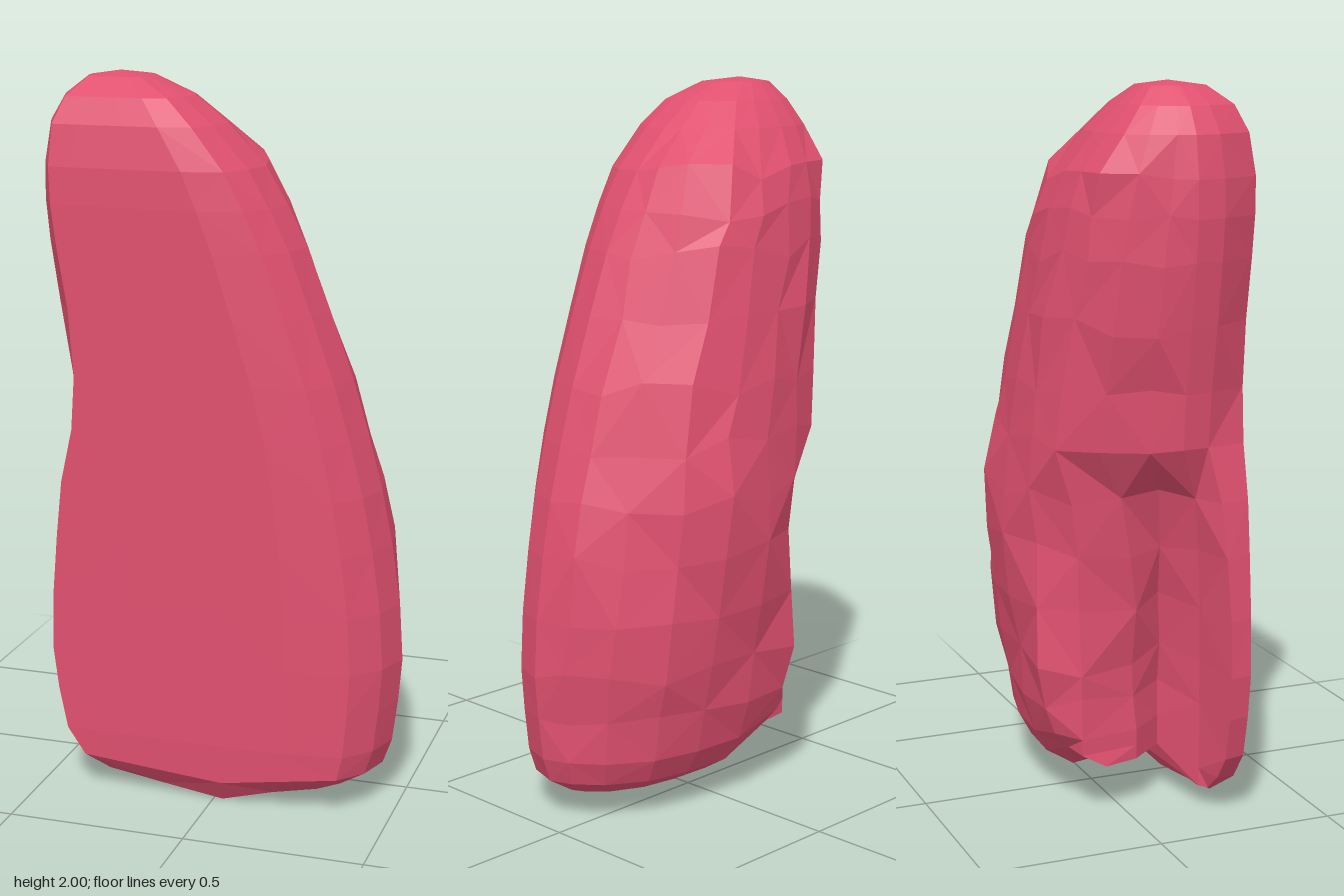
import * as THREE from 'three';

// Cross-section outline: u runs left edge to right edge, v runs back (-1) to front (1)
const OUTLINE = [
  [-0.97, 1], [-0.5, 1], [0, 1], [0.42, 1], [0.78, 0.88], [0.93, 0.5], [1, 0], [0.94, -0.27], [0.8, -0.57],
  [0.55, -0.85], [0.25, -0.97], [-0.1, -1], [-0.4, -0.95], [-0.64, -0.84], [-0.81, -0.57], [-0.93, -0.24], [-1, 0], [-0.98, 0.4],
];

// Where the outline points from index 12 move to inside the hollow (x, z)
const HOLLOW = [[-0.18, -0.23], [-0.26, -0.13], [-0.235, 0.04], [-0.15, 0.14], [-0.3, 0.2], [-0.465, 0.22]];

// Levels from the base up: height, left x, right x, back z, front z
const LEVELS = [
  [0.06, -0.32, 0.37, -0.06, 0.23],
  [0.11, -0.38, 0.45, -0.14, 0.275],
  [0.18, -0.43, 0.475, -0.18, 0.28],
  [0.3, -0.455, 0.49, -0.21, 0.28],
  [0.42, -0.47, 0.5, -0.23, 0.28],
  [0.58, -0.465, 0.49, -0.26, 0.28],
  [0.75, -0.45, 0.465, -0.27, 0.28],
  [0.9, -0.435, 0.435, -0.28, 0.28],
  [1.05, -0.42, 0.395, -0.265, 0.28],
  [1.2, -0.435, 0.35, -0.25, 0.28],
  [1.38, -0.465, 0.285, -0.235, 0.28],
  [1.55, -0.49, 0.22, -0.215, 0.28],
  [1.66, -0.5, 0.165, -0.2, 0.28],
  [1.76, -0.498, 0.105, -0.175, 0.278],
  [1.87, -0.48, 0.0, -0.1, 0.26],
  [1.94, -0.44, -0.09, -0.04, 0.23],
  [1.988, -0.38, -0.2, 0.01, 0.17],
];
const SEAM_Z = 0.09;

// Lowered front lip along the base, and raised base beside the hollow
const LIP_DROP = [0.01, 0.035, 0.06, 0.02];
const BASE_RISE = [0.08, 0.07, 0.045, 0.02];

function createLobeGeometry() {
  let seed = 7;
  const jitter = (size) => {
    seed = (seed * 16807) % 2147483647;
    return (seed / 2147483647 - 0.5) * size;
  };
  const positions = [];
  const indices = [];
  const n = OUTLINE.length;

  LEVELS.forEach(([y, left, right, back, front], row) => {
    // Bowl-shaped hollow that closes at the side notch
    const hollow = Math.sqrt(Math.max(0, 1 - (Math.max(0, y - 0.3) / 0.75) ** 2));
    // The front left edge is sharp beside the hollow and bevelled above it
    const bevel = THREE.MathUtils.smoothstep(y, 0.85, 1.4) * 0.17;
    OUTLINE.forEach(([u, v], i) => {
      let x = THREE.MathUtils.lerp(left, right, (u + (i === 0 ? bevel : 0) + 1) / 2);
      let z = SEAM_Z + v * (v > 0 ? front - SEAM_Z : SEAM_Z - back);
      let py = y;
      if (i >= 12) {
        const [hx, hz] = HOLLOW[i - 12];
        x = THREE.MathUtils.lerp(x, Math.max(hx, left), hollow);
        z = THREE.MathUtils.lerp(z, Math.max(hz, back), hollow);
      }
      if (row < 2 && i < 4) py -= LIP_DROP[i] * (row === 0 ? 1 : 0.7);
      if (row < BASE_RISE.length && i >= 12 && i <= 15) py += BASE_RISE[row];
      // Uneven facets on the rounded back
      if (v < 0 && row > 2 && y < 1.8) {
        x += jitter(0.025);
        z += jitter(0.02);
        py += jitter(0.05);
      }
      positions.push(x, py, z);
    });
  });

  // Skin between neighbouring levels, with alternating diagonals
  for (let r = 0; r < LEVELS.length - 1; r++) {
    for (let i = 0; i < n; i++) {
      const a = r * n + i;
      const b = r * n + ((i + 1) % n);
      const c = b + n;
      const d = a + n;
      if ((r + i) % 2) indices.push(a, b, c, a, c, d);
      else indices.push(a, b, d, b, c, d);
    }
  }

  // Concave base and rounded tip
  const base = positions.length / 3;
  positions.push(0.05, 0.13, 0.1, -0.3, 2, 0.09);
  const top = (LEVELS.length - 1) * n;
  for (let i = 0; i < n; i++) {
    const j = (i + 1) % n;
    indices.push(j, i, base, top + i, top + j, base + 1);
  }

  const geometry = new THREE.BufferGeometry();
  geometry.setAttribute('position', new THREE.Float32BufferAttribute(positions, 3));
  geometry.setIndex(indices);
  const faceted = geometry.toNonIndexed();
  faceted.computeVertexNormals();
  return faceted;
}

export function createModel() {
  const group = new THREE.Group();
  group.name = 'lungLobe';
  const material = new THREE.MeshStandardMaterial({ color: 0xe0506f, flatShading: true });
  const lobe = new THREE.Mesh(createLobeGeometry(), material);
  lobe.name = 'lobe';
  group.add(lobe);
  return group;
}
